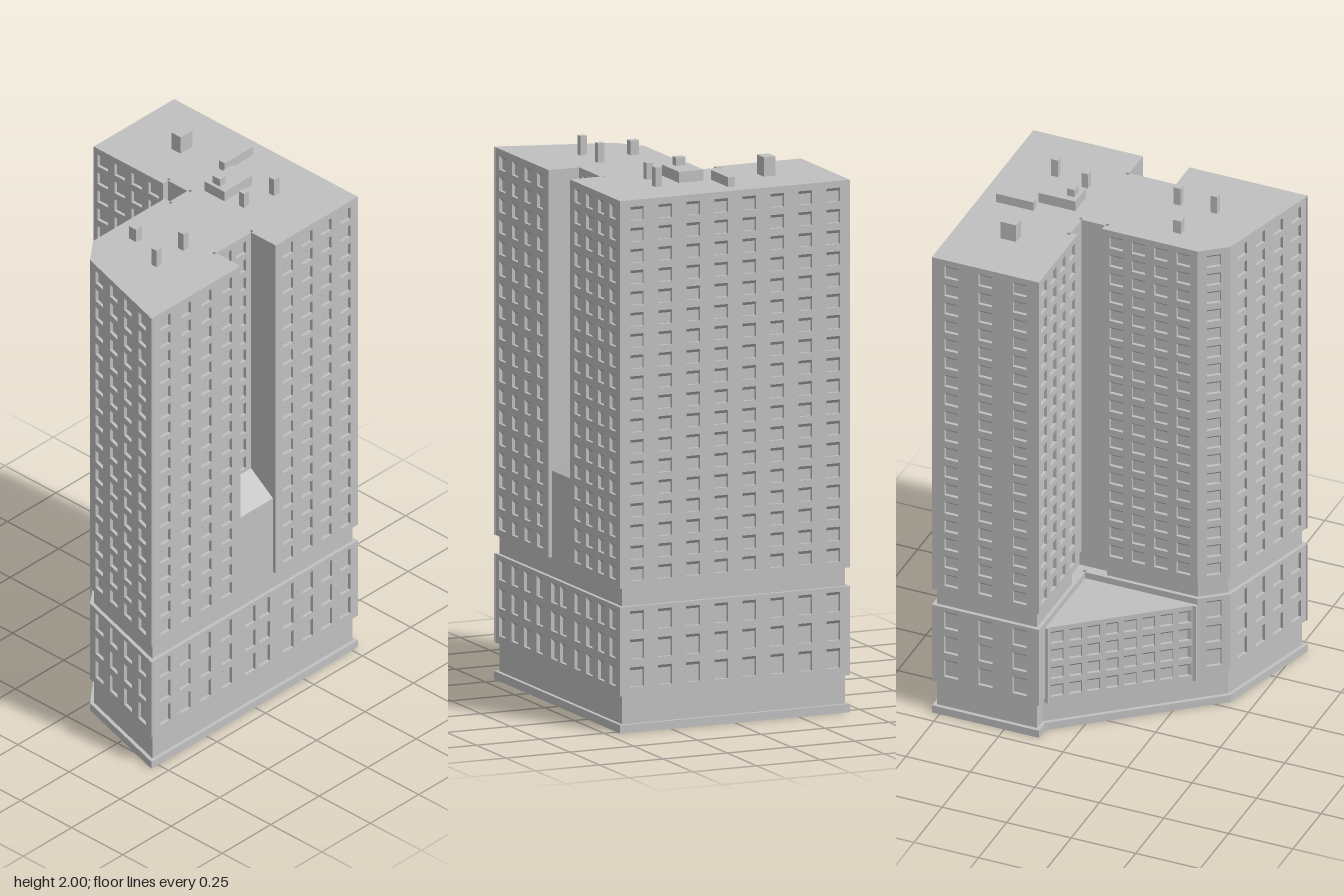
import * as THREE from 'three';
import { mergeGeometries } from 'three/addons/utils/BufferGeometryUtils.js';

const D = 0.012; // window recess depth

// Plans as [x, z], walked so that the outside lies to the right-hand normal
const FRONT = [[-0.535, 0.45], [0.53, 0.45], [0.53, -0.45], [0.115, -0.45]];
const NOTCH = [[-0.075, 0.45], [-0.075, 0.33], [0.105, 0.33], [0.105, 0.45]];
const CORNER = [[0.115, -0.11], [0.14, -0.11], [0.14, -0.015], [0.05, -0.015], [0.05, -0.04]];
const FACET = [[-0.32, -0.04], [-0.415, 0.035]];

const footprint = [...FRONT, [0.115, -0.395], FACET[1]];
const lPlan = [...FRONT, ...CORNER, ...FACET];
const podiumPlan = [...FRONT, [0.115, -0.04], ...FACET];
const towerPlan = [FRONT[0], ...NOTCH, ...FRONT.slice(1), ...CORNER, ...FACET];
const infillPlan = [[0.115, -0.395], [-0.32, -0.04], [0.115, -0.04]];

// Move every side of a plan inwards by d, with mitred corners
function inset(plan, d) {
  const n = plan.length;
  const dir = (a, b) => new THREE.Vector2(b[0] - a[0], b[1] - a[1]).normalize();
  return plan.map((p, i) => {
    const u = dir(plan[(i + n - 1) % n], p);
    const v = dir(p, plan[(i + 1) % n]);
    const k = d / (1 + u.dot(v));
    return [p[0] + (u.y + v.y) * k, p[1] - (u.x + v.x) * k];
  });
}

// Solid storey block between two heights
function slab(plan, y0, y1) {
  const shape = new THREE.Shape(plan.map(([x, z]) => new THREE.Vector2(x, -z)));
  const g = new THREE.ExtrudeGeometry(shape, { depth: y1 - y0, bevelEnabled: false });
  return g.rotateX(-Math.PI / 2).translate(0, y0, 0);
}

function rect(path, x0, y0, x1, y1) {
  return path.moveTo(x0, y0).lineTo(x1, y0).lineTo(x1, y1).lineTo(x0, y1).closePath();
}

// Evenly spread n window centres along a wall
function spread(n, length, margin) {
  if (n === 1) return [length / 2];
  return Array.from({ length: n }, (_, i) => margin + (i * (length - 2 * margin)) / (n - 1));
}

// Wall panel from p to q with pierced windows and sloping window heads
function wall(p, q, y0, y1, centres, tops, w, h) {
  const dx = q[0] - p[0], dz = q[1] - p[1];
  const length = Math.hypot(dx, dz);
  const shape = rect(new THREE.Shape(), 0, y0, length, y1);
  const parts = [];
  for (const cx of centres) {
    for (const top of tops) {
      shape.holes.push(rect(new THREE.Path(), cx - w / 2, top - h, cx + w / 2, top));
      parts.push(new THREE.PlaneGeometry(w, D * Math.SQRT2).rotateX(Math.PI / 4)
        .translate(cx, top - D / 2, -D / 2).toNonIndexed());
    }
  }
  parts.push(new THREE.ExtrudeGeometry(shape, { depth: D, bevelEnabled: false }).translate(0, 0, -D));
  const g = mergeGeometries(parts);
  return g.rotateY(-Math.atan2(dz, dx)).translate(p[0], 0, p[1]);
}

export function createModel() {
  const model = new THREE.Group();
  model.name = 'towerBlock';
  const concrete = new THREE.MeshStandardMaterial({ color: 0xc0c0c0 });
  concrete.name = 'concrete grey';

  const add = (name, geometry, parent = model) => {
    const mesh = new THREE.Mesh(geometry, concrete);
    mesh.name = name;
    parent.add(mesh);
    return mesh;
  };

  // A storey block: solid core plus one windowed panel per side
  function block(name, plan, y0, y1, columns, tops, w, h) {
    const group = new THREE.Group();
    group.name = name;
    model.add(group);
    add(name + 'Core', slab(inset(plan, D), y0, y1), group);
    plan.forEach((p, i) => {
      const q = plan[(i + 1) % plan.length];
      const length = Math.hypot(q[0] - p[0], q[1] - p[1]);
      const c = columns[i] || {};
      const centres = c.at || (c.n ? spread(c.n, length, c.m || 0.066) : []);
      add(name + 'Wall', wall(p, q, y0, y1, centres, tops.slice(0, c.rows), w, h), group);
    });
  }

  // Plinth and recessed ground floor
  add('plinth', slab(footprint, 0, 0.03));
  add('groundFloor', slab(inset(footprint, 0.014), 0.03, 0.135));

  // Podium with three tall rows of windows
  const podiumFront = [-0.465, -0.36, -0.255, -0.147, -0.025, 0.05, 0.17, 0.27, 0.37, 0.465];
  block('podium', podiumPlan, 0.135, 0.457, {
    0: { at: podiumFront.map((x) => x + 0.535) },
    1: { n: 8 },
    2: { n: 3, m: 0.075 },
    5: { n: 1 },
    6: { n: 4 },
  }, [0.44, 0.337, 0.236], 0.054, 0.072);

  // Low diagonal infill with four rows of small windows
  block('infill', infillPlan, 0.115, 0.432, { 0: { n: 8, m: 0.045 } },
    [0.412, 0.337, 0.262, 0.187], 0.046, 0.05);

  // Recessed neck under the tower
  add('neck', slab(inset(lPlan, 0.014), 0.45, 0.53));

  // Tower with eighteen rows
  const towerTops = Array.from({ length: 18 }, (_, i) => 1.905 - i * 0.0768);
  block('tower', towerPlan, 0.525, 1.93, {
    0: { n: 4, m: 0.071 },
    2: { n: 2, m: 0.053, rows: 13 },
    4: { n: 4, m: 0.065 },
    5: { n: 8 },
    6: { n: 3, m: 0.075 },
    7: { n: 4, m: 0.045 },
    12: { n: 4, m: 0.055 },
    13: { n: 1 },
    14: { n: 4 },
  }, towerTops, 0.052, 0.05);

  // Sloped block and floor at the foot of the front notch
  const section = new THREE.Shape([[-0.437, 0.525], [-0.32, 0.525], [-0.32, 0.927], [-0.437, 0.84]]
    .map(([x, y]) => new THREE.Vector2(x, y)));
  add('notchBlock', new THREE.ExtrudeGeometry(section, { depth: 0.18, bevelEnabled: false })
    .rotateY(Math.PI / 2).translate(-0.075, 0, 0));

  // Roof plant and chimneys: x0, x1, z0, z1, top
  const roofItems = [
    ['roofHut', 0.295, 0.355, -0.24, -0.195, 2.0],
    ['duct', 0.32, 0.465, -0.03, -0.003, 1.965],
    ['plantRoom', 0.183, 0.325, 0.028, 0.125, 1.97],
    ['plantVent', 0.197, 0.226, 0.053, 0.09, 2.0],
    ['chimney', 0.2, 0.226, 0.18, 0.205, 1.99],
    ['chimney', 0.328, 0.355, 0.205, 0.231, 2.0],
    ['chimney', -0.22, -0.189, 0.042, 0.076, 1.982],
    ['chimney', -0.286, -0.26, 0.213, 0.238, 2.0],
    ['chimney', -0.145, -0.119, 0.21, 0.236, 2.0],
  ];
  for (const [name, x0, x1, z0, z1, top] of roofItems) {
    add(name, new THREE.BoxGeometry(x1 - x0, top - 1.92, z1 - z0)
      .translate((x0 + x1) / 2, (top + 1.92) / 2, (z0 + z1) / 2));
  }
  return model;
}
